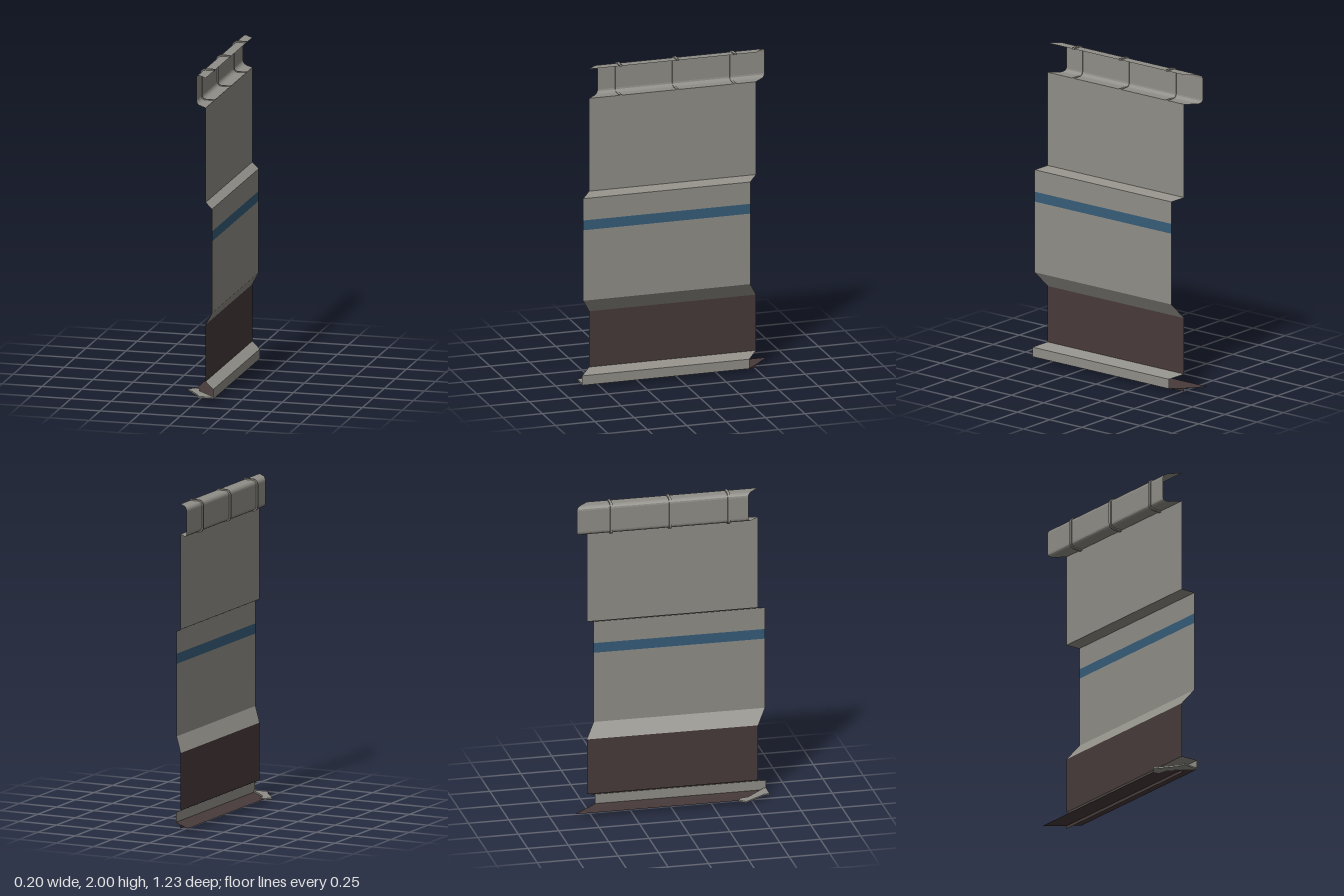
import * as THREE from 'three';

const mat = (name, color) => {
  const m = new THREE.MeshStandardMaterial({ color, side: THREE.DoubleSide });
  m.name = name;
  return m;
};

// Both ends of the panel are mitred at 45 degrees
const frontEnd = (x) => x + 0.515;
const backEnd = (x) => x - 0.545;

// Sweep an [x, y] profile along z between the mitred ends, one flat face per segment
function sweep(profile) {
  const pos = [];
  for (let i = 0; i < profile.length - 1; i++) {
    const [x0, y0] = profile[i], [x1, y1] = profile[i + 1];
    const a = [x0, y0, frontEnd(x0)], b = [x1, y1, frontEnd(x1)];
    const c = [x1, y1, backEnd(x1)], d = [x0, y0, backEnd(x0)];
    pos.push(...a, ...b, ...c, ...a, ...c, ...d);
  }
  const g = new THREE.BufferGeometry();
  g.setAttribute('position', new THREE.Float32BufferAttribute(pos, 3));
  g.computeVertexNormals();
  return g;
}

// Rounded C outline of the top channel, grown outward by d
function channelOutline(d) {
  const r = 0.025 + d, left = -0.045 - d, top = 1.991 + d, low = 1.806 - d;
  const pts = [[0.035, top]];
  for (let i = 0; i <= 4; i++) {
    const t = Math.PI / 2 * (1 + i / 4);
    pts.push([left + r + r * Math.cos(t), top - r + r * Math.sin(t)]);
  }
  for (let i = 0; i <= 4; i++) {
    const t = Math.PI * (1 + i / 8);
    pts.push([left + r + r * Math.cos(t), low + r + r * Math.sin(t)]);
  }
  pts.push([0.035, low]);
  return pts;
}

export function createModel() {
  const group = new THREE.Group();
  const grey = mat('panelGrey', 0x908e87);
  const brown = mat('darkBrown', 0x483a3a);
  const blue = mat('stripeBlue', 0x365d79);
  const add = (name, geometry, material) => {
    const m = new THREE.Mesh(geometry, material);
    m.name = name;
    group.add(m);
    return m;
  };

  // Wall panel, top to bottom
  add('topChannel', sweep(channelOutline(0)), grey);
  add('upperPanel', sweep([[0.035, 1.806], [0.035, 1.22], [0.09, 1.195], [0.09, 1.057]]), grey);
  add('stripe', sweep([[0.09, 1.057], [0.09, 0.995]]), blue);
  add('middlePanel', sweep([[0.09, 0.995], [0.09, 0.55], [0.035, 0.462]]), grey);
  add('lowerPanel', sweep([[0.035, 0.462], [0.035, 0.11]]), brown);
  add('baseTrim', sweep([[0.035, 0.11], [0.1, 0.08], [0.1, 0.02]]), grey);
  add('floorStrip', sweep([[0.1, 0.02], [0.035, 0.02], [-0.065, 0.026]]), brown);
  add('bottomLip', sweep([[0.035, 0.02], [0.035, 0]]), brown);

  // Ribs wrapped around the channel
  const outline = [...channelOutline(0.008), ...channelOutline(-0.004).reverse()];
  const ribShape = new THREE.Shape(outline.map(([x, y]) => new THREE.Vector2(x, y)));
  const ribGeometry = new THREE.ExtrudeGeometry(ribShape, { depth: 0.016, bevelEnabled: false });
  for (const z of [0.35, -0.012, -0.376]) {
    add('rib', ribGeometry, grey).position.z = z - 0.008;
  }

  // Flat plate at the front corner of the base
  const plate = new THREE.Shape([
    [-0.103, 0.445], [-0.065, 0.405], [-0.035, 0.425], [-0.025, 0.475],
    [0.1, 0.6], [0.1, 0.613], [0.002, 0.613], [-0.004, 0.58],
  ].map(([x, z]) => new THREE.Vector2(x, -z)));
  const plateGeometry = new THREE.ExtrudeGeometry(plate, { depth: 0.009, bevelEnabled: false });
  plateGeometry.rotateX(-Math.PI / 2);
  add('cornerPlate', plateGeometry, grey).position.y = 0.022;

  return group;
}
